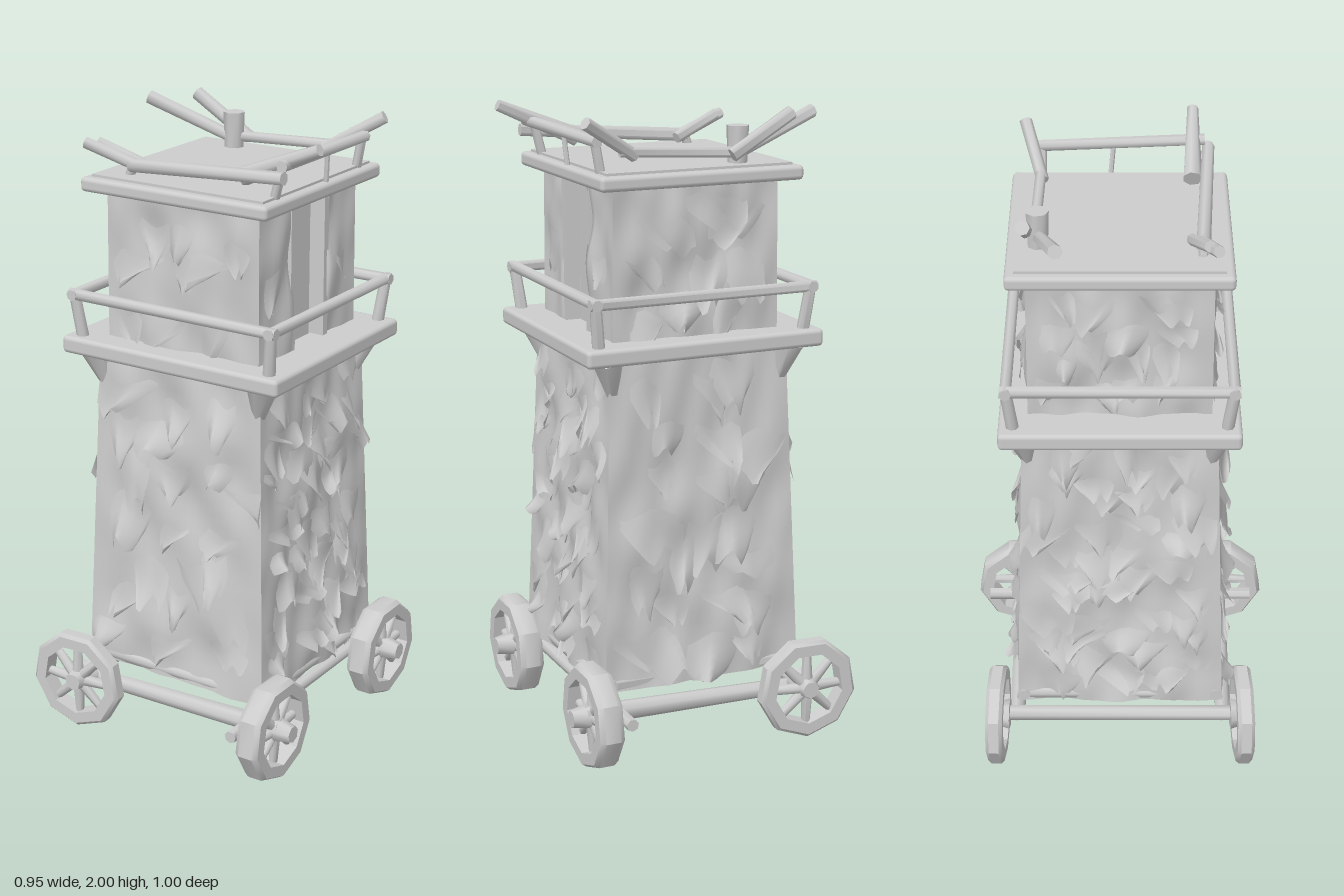
import * as THREE from 'three';
import { mergeGeometries, toCreasedNormals } from 'three/addons/utils/BufferGeometryUtils.js';
import { RoundedBoxGeometry } from 'three/addons/geometries/RoundedBoxGeometry.js';

const stone = new THREE.MeshStandardMaterial({ color: 0xcccccc, side: THREE.DoubleSide });
stone.name = 'weathered grey';

let seed = 11;
const rand = (a = 0, b = 1) => {
  seed = (seed * 16807) % 2147483647;
  return a + (b - a) * seed / 2147483647;
};

function add(parent, name, geometry, x = 0, y = 0, z = 0) {
  const mesh = new THREE.Mesh(geometry, stone);
  mesh.name = name;
  mesh.position.set(x, y, z);
  parent.add(mesh);
  return mesh;
}

// Tapering log between two points
function log(parent, name, a, b, r1, r2 = r1) {
  const from = new THREE.Vector3(...a), to = new THREE.Vector3(...b);
  const dir = to.clone().sub(from);
  const g = toCreasedNormals(new THREE.CylinderGeometry(r2, r1, dir.length(), 7), 1);
  const mesh = add(parent, name, g);
  mesh.position.copy(from).add(to).multiplyScalar(0.5);
  mesh.quaternion.setFromUnitVectors(new THREE.Vector3(0, 1, 0), dir.normalize());
}

// A storey: half widths interpolate from bottom to top
const lower = { cx: 0.016, y0: 0.23, y1: 1.27, hx: [0.332, 0.295], hz: [0.335, 0.297] };
const upper = { cx: 0.018, y0: 1.3, y1: 1.8, hx: [0.275, 0.272], hz: [0.278, 0.275] };

// Point on side k (front, +x, back, -x), at u across, y up and d outward
function onWall(s, k, u, y, d) {
  const t = (y - s.y0) / (s.y1 - s.y0);
  const hx = THREE.MathUtils.lerp(...s.hx, t), hz = THREE.MathUtils.lerp(...s.hz, t);
  if (k === 0) return [s.cx + u * hx, y, hz + d];
  if (k === 1) return [s.cx + hx + d, y, -u * hz];
  if (k === 2) return [s.cx - u * hx, y, -hz - d];
  return [s.cx - hx - d, y, u * hz];
}

// Map a plane (0..1 in both directions) through a function
function sheet(nx, ny, fn) {
  const g = new THREE.PlaneGeometry(1, 1, nx, ny);
  const p = g.attributes.position;
  for (let i = 0; i < p.count; i++) p.setXYZ(i, ...fn(p.getX(i) + 0.5, p.getY(i) + 0.5));
  g.computeVertexNormals();
  return g;
}

// Rumpled hide, pinned flat at the corners
function rumple(u, y, k) {
  const a = Math.sin(u * 5 + k * 2 + Math.sin(y * 9 + k)) * Math.sin(y * 13 + k * 3 + u * 2);
  const b = Math.sin(u * 11 + y * 7 + k) * Math.sin(y * 21 - u * 4);
  return (0.013 * a + 0.006 * b) * (1 - u ** 6);
}

const inDoor = (s, k, u) => s === upper && k === 1 && Math.abs(u) < 0.32;

function wall(s, k) {
  return sheet(25, 28, (a, b) => {
    const u = a * 2 - 1, y = THREE.MathUtils.lerp(s.y0, s.y1, b);
    return onWall(s, k, u, y, inDoor(s, k, u) ? -0.06 : rumple(u, y, k));
  });
}

// Torn hide tongue: attached along its top, curling out to a ragged tip
function flap(s, k, u, y, w, h, out) {
  const lean = rand(-0.9, 0.9), tip = rand(0.1, 0.6);
  return sheet(6, 5, (a, b) => {
    const drop = 1 - b, width = w * (1 - (1 - tip) * drop ** 1.5);
    const uu = THREE.MathUtils.clamp(u + (a - 0.5) * width + lean * w * drop * 0.5, -1, 1);
    const ragged = 0.2 * h * Math.sin(a * 8 + lean * 9) * (drop + 0.6 * b);
    const yy = THREE.MathUtils.clamp(y - h * drop + ragged, s.y0, s.y1);
    const d = rumple(uu, yy, k) + out * drop ** 1.6 * (0.6 + 0.4 * Math.sin(a * 5 + lean * 4));
    return onWall(s, k, uu, yy, d + 0.008 * Math.sin(a * Math.PI) - 0.003);
  });
}

function storey(parent, name, s, rows) {
  const group = new THREE.Group();
  group.name = name;
  parent.add(group);
  for (let k = 0; k < 4; k++) {
    add(group, 'hideWall', wall(s, k));
    const flaps = [];
    // Broad drapes at front and back, denser shreds at the sides
    const side = k % 2 === 1;
    const cols = side ? 4 : 3, levels = side ? rows : Math.ceil(rows * 0.6);
    for (let r = 0; r < levels; r++) for (let c = 0; c < cols; c++) {
      const u = -0.82 + 1.64 * (c + rand(0.05, 0.95)) / cols;
      const y = THREE.MathUtils.lerp(s.y0 + 0.08, s.y1 - 0.02, (r + rand(0.1, 0.9)) / levels);
      const w = side ? rand(0.25, 0.6) : rand(0.35, 0.8), h = side ? rand(0.05, 0.12) : rand(0.07, 0.16);
      const out = rand(0.012, 0.045);
      if (s === upper && k === 1 && Math.abs(u) < 0.62) continue;
      flaps.push(flap(s, k, u, y, w, h, out));
    }
    add(group, 'tornHides', mergeGeometries(flaps));
  }
}

function wheel(parent, name, x, z, yaw, width, hubOut) {
  const group = new THREE.Group();
  group.name = name;
  group.position.set(x, 0.17, z);
  group.rotation.y = yaw;
  parent.add(group);
  // Rim facing outward along its own +z
  const h = width / 2;
  const profile = [[0.118, -h], [0.155, -h], [0.166, -h * 0.6], [0.166, h * 0.6], [0.155, h], [0.118, h], [0.118, -h]]
    .map(([r, y]) => new THREE.Vector2(r, y));
  const rim = new THREE.LatheGeometry(profile, 9).rotateX(Math.PI / 2);
  add(group, 'rim', toCreasedNormals(rim, 0.6));
  for (let i = 0; i < 8; i++) {
    const a = i * Math.PI / 4, c = Math.cos(a), s = Math.sin(a);
    log(group, 'spoke', [c * 0.02, s * 0.02, 0.005], [c * 0.13, s * 0.13, 0], 0.019, 0.013);
  }
  log(group, 'hub', [0, 0, -0.04], [0, 0, h + hubOut], 0.052, 0.028);
}

// Four beams around a rectangle
function frame(parent, name, cx, y, hx, hz, r) {
  for (const s of [-1, 1]) {
    log(parent, name, [cx - hx - r, y, s * hz], [cx + hx + r, y, s * hz], r);
    log(parent, name, [cx + s * hx, y, -hz - r], [cx + s * hx, y, hz + r], r);
  }
}

export function createModel() {
  const model = new THREE.Group();
  model.name = 'siegeTower';

  // Tower storeys
  storey(model, 'lowerStorey', lower, 11);
  storey(model, 'upperStorey', upper, 4);

  // Balcony, its brackets and railing
  add(model, 'balcony', new RoundedBoxGeometry(0.785, 0.055, 0.73, 2, 0.014), 0.016, 1.295, 0);
  frame(model, 'railing', 0.016, 1.455, 0.357, 0.338, 0.018);
  for (const sx of [-1, 1]) for (const sz of [-1, 1]) {
    log(model, 'railPost', [0.016 + sx * 0.34, 1.31, sz * 0.32], [0.016 + sx * 0.357, 1.46, sz * 0.338], 0.02, 0.018);
    log(model, 'bracket', [0.016 + sx * 0.28, 1.16, sz * 0.28], [0.016 + sx * 0.305, 1.275, sz * 0.3], 0.018, 0.05);
  }

  // Door posts and flat door on the +x side
  add(model, 'door', new THREE.BoxGeometry(0.01, 0.44, 0.15), 0.245, 1.54, 0);
  for (const s of [-1, 1]) add(model, 'doorJamb', new THREE.BoxGeometry(0.05, 0.46, 0.025), 0.272, 1.55, s * 0.095);

  // Roof slab with a slightly raised deck
  add(model, 'roofSlab', new RoundedBoxGeometry(0.665, 0.045, 0.665, 2, 0.014), 0.016, 1.803, 0);
  add(model, 'roofDeck', new THREE.BoxGeometry(0.61, 0.01, 0.61), 0.016, 1.828, 0);

  // Rough logs tied around the roof
  const logs = [
    [[-0.14, 1.865, -0.25], [0.25, 1.885, -0.24], 0.017, 0.017],
    [[0.2, 1.87, -0.235], [0.38, 1.98, -0.29], 0.02, 0.02],
    [[-0.13, 1.86, -0.24], [-0.42, 1.97, -0.18], 0.02, 0.022],
    [[-0.1, 1.86, -0.275], [-0.3, 1.98, -0.275], 0.022, 0.022],
    [[-0.135, 1.82, -0.24], [-0.135, 1.945, -0.24], 0.03, 0.035],
    [[0.33, 1.92, -0.26], [0.355, 1.93, 0.26], 0.018, 0.018],
    [[-0.19, 1.86, 0.24], [0.37, 1.9, 0.272], 0.022, 0.02],
    [[-0.16, 1.86, 0.235], [-0.33, 1.92, 0.28], 0.02, 0.018],
    [[-0.14, 1.855, 0.21], [-0.3, 1.92, 0.255], 0.018, 0.018],
    [[0.2, 1.875, 0.22], [0.46, 1.985, 0.225], 0.03, 0.018],
    [[0.33, 1.81, -0.03], [0.34, 1.92, -0.02], 0.008, 0.008],
    [[0.31, 1.81, -0.24], [0.33, 1.92, -0.24], 0.015, 0.015],
    [[0.31, 1.81, 0.23], [0.34, 1.93, 0.23], 0.015, 0.015],
    [[-0.2, 1.81, 0.24], [-0.18, 1.87, 0.24], 0.015, 0.015],
  ];
  for (const [a, b, r1, r2] of logs) log(model, 'roofLog', a, b, r1, r2);

  // Undercarriage: axles, side beams and floor slats
  log(model, 'leftAxle', [0.312, 0.17, -0.46], [0.312, 0.17, 0.46], 0.02);
  log(model, 'rightAxle', [-0.312, 0.17, -0.4], [-0.312, 0.17, 0.4], 0.025);
  for (const s of [-1, 1]) {
    log(model, 'sideBeam', [-0.31, 0.155, s * 0.34], [0.42, 0.175, s * 0.34], 0.025, 0.033);
  }
  for (let i = 0; i < 4; i++) {
    add(model, 'floorSlat', new THREE.BoxGeometry(0.09, 0.025, 0.66), -0.24 + i * 0.168, 0.245, 0);
  }
  frame(model, 'baseBeam', 0.016, 0.25, 0.312, 0.315, 0.022);

  // Wheels: the +x pair faces sideways, the -x pair faces front and back
  for (const s of [-1, 1]) {
    wheel(model, 'leftWheel', 0.392, s * 0.337, Math.PI / 2, 0.08, 0.033);
    wheel(model, s > 0 ? 'frontWheel' : 'backWheel', -0.315, s * 0.403, s > 0 ? 0.05 : Math.PI - 0.05, 0.055, 0.012);
  }
  return model;
}
